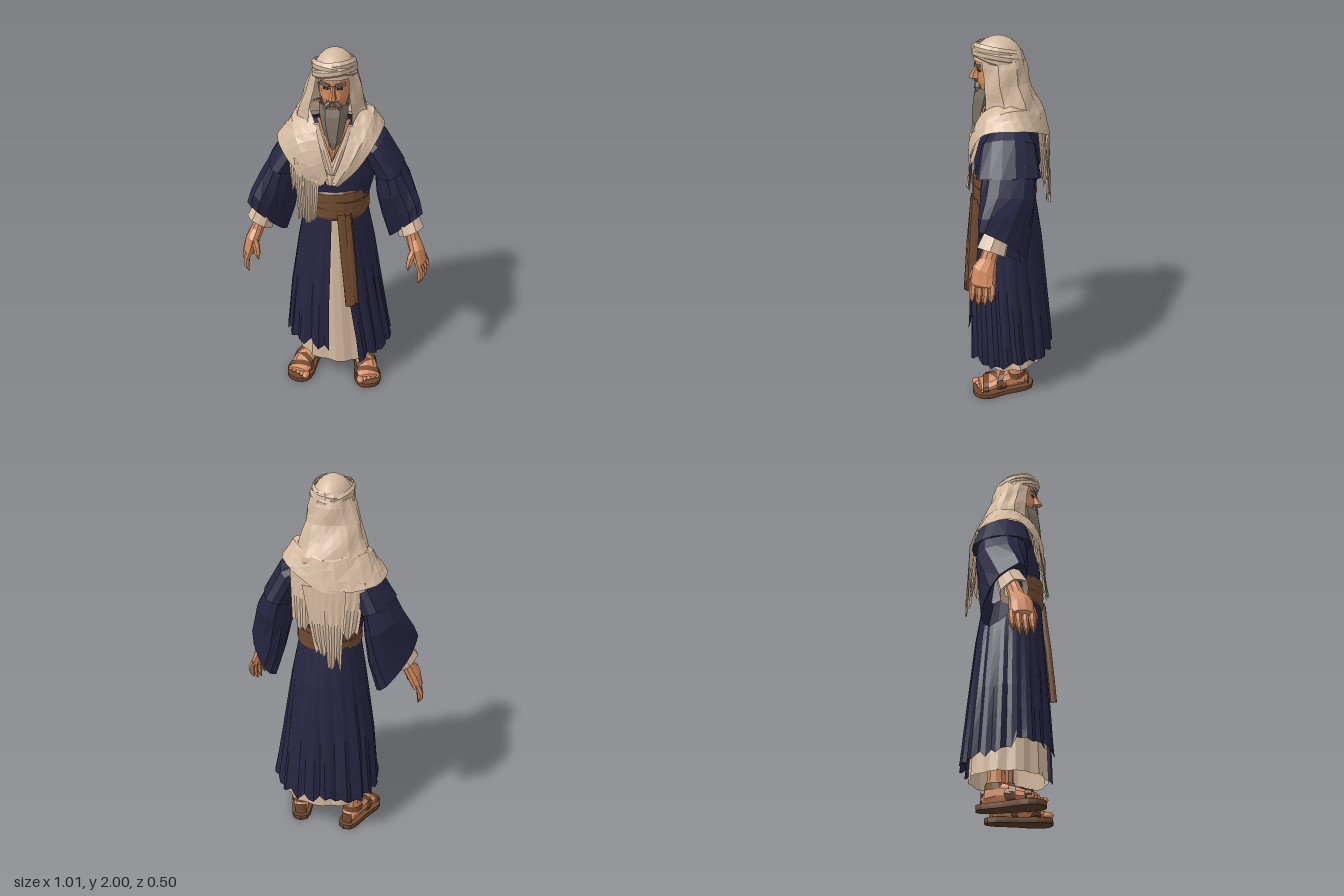
import * as THREE from 'three';

const mat = (name, color) => new THREE.MeshStandardMaterial({ name, color, side: THREE.DoubleSide });
const navy = mat('navy cloth', 0x252540), cream = mat('cream cloth', 0xd4b99f), skin = mat('skin', 0xcf895f);
const brown = mat('brown leather', 0x704a30), sole = mat('dark sole', 0x573b28), grey = mat('grey beard', 0x7d7266);
const dark = mat('dark brow', 0x453b34);

const hash = n => { const s = Math.sin(n * 127.1 + 3.7) * 43758.5; return s - Math.floor(s); };
const lerp = THREE.MathUtils.lerp;
const V3 = p => new THREE.Vector3(...p);

function add(parent, name, geometry, material) {
  const m = new THREE.Mesh(geometry, material);
  m.name = name;
  parent.add(m);
  return m;
}

// Faceted grid surface from f(u, v, i, j) -> Vector3
function surface(parent, name, material, nu, nv, f) {
  const pos = [], idx = [], w = nu + 1;
  for (let j = 0; j <= nv; j++)
    for (let i = 0; i <= nu; i++) pos.push(...f(i / nu, j / nv, i, j).toArray());
  for (let j = 0; j < nv; j++)
    for (let i = 0; i < nu; i++) {
      const a = j * w + i;
      idx.push(a, a + w, a + 1, a + 1, a + w, a + w + 1);
    }
  let g = new THREE.BufferGeometry();
  g.setAttribute('position', new THREE.Float32BufferAttribute(pos, 3));
  g.setIndex(idx);
  g = g.toNonIndexed();
  g.computeVertexNormals();
  return add(parent, name, g, material);
}

// Loft through rings [centre, sideAxis, frontAxis]; angle 0 is the front axis
const up = (y, cx, cz, rx, rz) => [[cx, y, cz], [rx, 0, 0], [0, 0, rz]];
function loft(parent, name, material, rings, n, { range = () => [0, Math.PI * 2], warp, rows = 1 } = {}) {
  const R = rings.map(r => r.map(V3)), segs = R.length - 1;
  return surface(parent, name, material, n, segs * rows, (u, v, i) => {
    const k = Math.min(Math.floor(v * segs + 1e-6), segs - 1), t = v * segs - k;
    const [c, s, f] = [0, 1, 2].map(q => R[k][q].clone().lerp(R[k + 1][q], t));
    const [a0, a1] = range(v), a = lerp(a0, a1, u);
    const [scale, lift] = warp ? warp(i % n, v, a) : [1, 0];
    return c.addScaledVector(s, Math.sin(a) * scale).addScaledVector(f, Math.cos(a) * scale).add(new THREE.Vector3(0, lift, 0));
  });
}

// Ragged hanging strip between a top edge and a bottom edge
function strip(parent, name, material, tl, tr, bl, br, { n = 6, jag = 0, bow = 0, seed = 0, rows = 4 } = {}) {
  return surface(parent, name, material, n, rows, (u, v, i) => {
    const p = V3(tl).lerp(V3(tr), u).lerp(V3(bl).lerp(V3(br), u), v);
    p.z += bow * Math.sin(u * Math.PI) + (i % 2 - 0.5) * 0.012 * v;
    if (v === 1) p.y += jag * (hash(i + seed) - 0.5);
    return p;
  });
}

function buildRobe(g) {
  loft(g, 'tunicSkirt', cream, [up(1.2, 0, 0.02, 0.14, 0.15), up(0.8, 0, 0.01, 0.175, 0.178), up(0.18, 0.02, 0, 0.235, 0.2)], 30,
    { rows: 2, warp: (i, v) => [1 + ([0.02, 0.01, -0.05][i % 3] + 0.03 * (hash(i) - 0.5)) * v, 0] });
  // Long overskirt, open at the front, with a worn hem
  loft(g, 'robeSkirt', navy, [up(1.2, 0, 0.025, 0.155, 0.155), up(0.92, 0, 0.012, 0.205, 0.185),
    up(0.6, 0, 0.008, 0.252, 0.212), up(0.25, 0.01, 0.0, 0.295, 0.238)], 54, {
    rows: 3,
    range: v => [0.18 + 0.32 * v, Math.PI * 2 - 0.02 - 0.06 * v],
    warp: (i, v, a) => [1 + v * ([0.02, 0.03, -0.04][i % 3] + 0.04 * (hash(i) - 0.5) + 0.02 * Math.sin(a * 5)),
      v === 1 ? 0.05 * (hash(i + 50) - 0.5) + (a > 5 ? 0.06 : a < 1.4 ? -0.03 : 0) : 0],
  });
  loft(g, 'robeTorso', navy, [up(1.61, 0, -0.02, 0.12, 0.05), up(1.58, 0, -0.01, 0.18, 0.11), up(1.5, 0, 0.005, 0.205, 0.15),
    up(1.35, 0, 0.01, 0.205, 0.17), up(1.15, 0, 0.025, 0.155, 0.155)], 18,
    { rows: 2, warp: i => [1 + 0.03 * (hash(i + 9) - 0.5), 0] });
  // Open neckline
  strip(g, 'tunicNeck', cream, [-0.13, 1.64, 0.11], [0.13, 1.64, 0.11], [-0.03, 1.34, 0.192], [0.03, 1.34, 0.192], { n: 4, bow: 0.012 });
  strip(g, 'chest', skin, [-0.085, 1.67, 0.115], [0.085, 1.67, 0.115], [-0.005, 1.47, 0.184], [0.005, 1.47, 0.184], { n: 4, bow: 0.015 });
  for (const s of [1, -1])
    strip(g, 'tunicCollar', cream, [s * 0.1, 1.64, 0.13], [s * 0.07, 1.64, 0.14], [s * 0.02, 1.4, 0.2], [-s * 0.01, 1.4, 0.2], { n: 2 });
}

function buildSash(g) {
  for (let k = 0; k < 3; k++) {
    const y = 1.265 - k * 0.045, tilt = [0.01, -0.012, 0.006][k];
    const ring = (dy, r) => [[0.003, y + dy, 0.025], [0.162 * r, tilt, 0], [0, 0.01, 0.158 * r]];
    loft(g, 'sashWrap', brown, [ring(0.015, 1), ring(0.005, 1.06), ring(-0.04, 1.07), ring(-0.065, 1)], 20,
      { warp: i => [1 + 0.02 * (hash(i + k * 31) - 0.5), 0] });
  }
  // Hanging sash ends
  const tail = (pts, rx, rz, seed) => loft(g, 'sashTail', brown, pts.map((p, k) => [p, [rx * (1 + k * 0.15), 0, -0.008], [0, 0, rz]]), 8,
    { rows: 2, warp: (i, v) => [i % 2 ? 1.1 : 0.9, v === 1 ? 0.035 * (hash(i + seed) - 0.5) : 0] });
  tail([[0.045, 1.17, 0.18], [0.073, 0.9, 0.208], [0.105, 0.63, 0.228]], 0.024, 0.02, 0);
  tail([[0.08, 1.17, 0.175], [0.105, 0.9, 0.195], [0.125, 0.65, 0.21]], 0.018, 0.028, 5);
}

function buildArm(g) {
  // Wide layered sleeves
  loft(g, 'shoulderSleeve', navy, [
    [[0.1, 1.56, 0], [0.03, 0.06, 0], [0, 0, 0.08]],
    [[0.19, 1.5, 0], [0.06, 0.06, 0], [0, 0, 0.135]],
    [[0.27, 1.365, 0], [0.08, 0.03, 0], [0.01, 0, 0.16]],
    [[0.27, 1.36, 0], [0.05, 0.02, 0], [0, 0, 0.12]]], 14, { warp: i => [1 + 0.1 * (hash(i + 3) - 0.5), 0] });
  loft(g, 'lowerSleeve', navy, [
    [[0.25, 1.42, 0], [0.06, 0.03, 0], [0, 0, 0.13]],
    [[0.298, 1.26, 0.005], [0.092, 0.055, 0.015], [-0.005, 0, 0.138]],
    [[0.335, 1.14, 0.018], [0.1, 0.08, 0.045], [0, 0.015, 0.12]],
    [[0.37, 1.03, 0.028], [0.088, 0.12, 0.065], [-0.015, 0.035, 0.098]],
    [[0.35, 1.09, 0.025], [0.055, 0.06, 0.04], [-0.01, 0.03, 0.07]]], 14, { warp: i => [1 + 0.1 * (hash(i + 17) - 0.5), 0] });
  loft(g, 'cuff', cream, [
    [[0.355, 1.14, 0.045], [0.048, 0.03, 0], [0, 0.02, 0.058]],
    [[0.403, 1.025, 0.085], [0.06, 0.036, 0.005], [-0.005, 0.025, 0.072]],
    [[0.395, 1.05, 0.08], [0.035, 0.02, 0], [0, 0.02, 0.045]]], 12, { warp: i => [i % 2 ? 1.06 : 0.97, 0] });
  // Hand
  loft(g, 'palm', skin, [
    [[0.385, 1.07, 0.075], [0.03, 0.015, 0], [0, 0.01, 0.036]],
    [[0.415, 0.99, 0.1], [0.032, 0.015, 0], [-0.005, 0.01, 0.041]],
    [[0.438, 0.94, 0.12], [0.035, 0.015, 0.005], [-0.012, 0.02, 0.058]],
    [[0.462, 0.87, 0.127], [0.029, 0.01, 0.004], [-0.014, 0.005, 0.062]],
    [[0.468, 0.86, 0.127], [0.004, 0, 0], [0, 0, 0.03]]], 10);
  const finger = (name, pts, r) => loft(g, name, skin, pts.map((p, i) => {
    const q = [r, r, r * 0.85, 0.003][i];
    return [p, [q, 0, 0], [0, 0, q]];
  }), 6);
  for (let k = 0; k < 4; k++) {
    const z = 0.078 + k * 0.032, x = 0.008 - k * 0.009, len = [0.085, 0.105, 0.11, 0.095][k];
    finger('finger', [[0.464 + x, 0.89, z], [0.484 + x, 0.875 - len * 0.4, z + 0.003], [0.484 + x, 0.875 - len * 0.8, z + 0.008], [0.474 + x, 0.875 - len * 1.12, z + 0.01]], 0.0165);
  }
  finger('thumb', [[0.43, 0.97, 0.145], [0.41, 0.925, 0.17], [0.402, 0.885, 0.185], [0.398, 0.85, 0.19]], 0.019);
}

function buildFoot(side) {
  const g = new THREE.Group();
  g.name = 'foot';
  g.position.set(0.172, 0, 0.033);
  g.rotation.y = 0.24;
  g.scale.x = 1.16;
  side.add(g);
  const s = new THREE.Shape();
  s.moveTo(0, -0.175);
  s.bezierCurveTo(0.07, -0.175, 0.04, -0.04, 0.06, 0.03);
  s.bezierCurveTo(0.085, 0.12, 0.06, 0.178, 0, 0.178);
  s.bezierCurveTo(-0.06, 0.178, -0.075, 0.12, -0.058, 0.03);
  s.bezierCurveTo(-0.04, -0.04, -0.07, -0.175, 0, -0.175);
  for (const [name, m, d, top] of [['soleBase', sole, 0.012, 0.012], ['soleTop', brown, 0.016, 0.028]])
    add(g, name, new THREE.ExtrudeGeometry(s, { depth: d, bevelEnabled: false, curveSegments: 5 }).rotateX(Math.PI / 2).translate(0, top, 0), m);
  const rings = [[-0.14, 0.055, 0.015, 0.02], [-0.115, 0.065, 0.038, 0.042], [-0.05, 0.08, 0.044, 0.062],
    [0.02, 0.07, 0.05, 0.045], [0.09, 0.055, 0.056, 0.03], [0.135, 0.048, 0.05, 0.02], [0.14, 0.045, 0.02, 0.01]];
  loft(g, 'footBody', skin, rings.map(([z, y, rx, ry]) => [[0, y, z], [rx, 0, 0], [0, ry, 0]]), 10);
  for (let k = 0; k < 5; k++) {
    const toe = add(g, 'toe', new THREE.IcosahedronGeometry(k ? 0.013 : 0.018, 1), skin);
    toe.position.set(-0.042 + k * 0.022, 0.042, 0.145 - k * 0.006);
    toe.scale.z = 1.6;
  }
  loft(g, 'ankle', skin, [up(0.45, -0.005, -0.07, 0.045, 0.05), up(0.2, 0, -0.07, 0.037, 0.044), up(0.13, 0, -0.07, 0.038, 0.048), up(0.08, 0, -0.065, 0.041, 0.056)], 10);
  // Straps, some slanted across the instep
  for (const [z, y, rx, ry, slant] of [[0.1, 0.055, 0.062, 0.034, 0.015], [0.045, 0.064, 0.058, 0.046, -0.035], [0.0, 0.072, 0.055, 0.058, 0.035]])
    loft(g, 'strap', brown, [[[0, y, z - 0.016], [rx, 0, slant], [0, ry, 0]], [[0, y - 0.004, z + 0.018], [rx, 0, slant], [0, ry * 0.94, 0]]], 12);
  loft(g, 'ankleStrap', brown, [up(0.125, 0, -0.07, 0.046, 0.055), up(0.09, 0, -0.066, 0.049, 0.063)], 12);
  loft(g, 'heelStrap', brown, [up(0.09, 0, -0.09, 0.046, 0.057), up(0.028, 0, -0.085, 0.047, 0.063)], 12, { range: () => [2.5, 3.8] });
}

function buildHead(g) {
  loft(g, 'face', skin, [up(1.95, 0, 0.06, 0.05, 0.06), up(1.89, 0, 0.065, 0.08, 0.1), up(1.855, 0, 0.065, 0.08, 0.103), up(1.835, 0, 0.06, 0.078, 0.095),
    up(1.78, 0, 0.062, 0.074, 0.098), up(1.7, 0, 0.055, 0.05, 0.085), up(1.66, 0, 0.04, 0.055, 0.055), up(1.55, 0, 0.04, 0.08, 0.06)], 14);
  loft(g, 'nose', skin, [up(1.86, 0, 0.15, 0.01, 0.012), up(1.815, 0, 0.162, 0.014, 0.028), up(1.79, 0, 0.165, 0.02, 0.037), up(1.775, 0, 0.15, 0.008, 0.01)], 6);
  for (const s of [1, -1]) {
    const brow = add(g, 'eyebrow', new THREE.BoxGeometry(0.05, 0.012, 0.02), grey);
    brow.position.set(s * 0.036, 1.862, 0.156);
    brow.rotation.set(0, s * 0.35, s * 0.15);
    const eye = add(g, 'eye', new THREE.BoxGeometry(0.026, 0.01, 0.008), dark);
    eye.position.set(s * 0.034, 1.837, 0.149);
    eye.rotation.y = s * 0.35;
    loft(g, 'moustache', grey, [up(1.777, s * 0.008, 0.158, 0.014, 0.014), up(1.755, s * 0.028, 0.157, 0.018, 0.018), up(1.69, s * 0.042, 0.145, 0.006, 0.006)], 6);
    strip(g, 'sideburn', grey, [s * 0.084, 1.85, 0.06], [s * 0.08, 1.83, 0.095], [s * 0.07, 1.72, 0.08], [s * 0.05, 1.72, 0.14], { n: 2 });
  }
  const lip = add(g, 'lip', new THREE.BoxGeometry(0.03, 0.01, 0.008), skin);
  lip.position.set(0, 1.744, 0.171);
  loft(g, 'beard', grey, [up(1.75, 0, 0.115, 0.066, 0.05), up(1.7, 0, 0.125, 0.064, 0.056), up(1.63, 0, 0.14, 0.049, 0.048), up(1.57, 0.004, 0.155, 0.033, 0.034), up(1.515, 0.002, 0.168, 0.004, 0.006)], 12,
    { rows: 2, warp: i => [1 + (i % 2 ? 0.1 : -0.06), 0] });
}

function buildHeadcloth(g) {
  const crown = add(g, 'crown', new THREE.SphereGeometry(1, 16, 6, 0, Math.PI * 2, 0, Math.PI / 2), cream);
  crown.position.set(-0.003, 1.885, 0.055);
  crown.scale.set(0.1, 0.115, 0.122);
  // Wrapped bands
  [[1.925, 0.015, 0.02, 1], [1.91, -0.015, 0.028, 1.03], [1.9, 0.018, 0.022, 1.05]].forEach(([y, roll, pitch, r], k) => {
    const ring = (dy, q) => [[-0.004, y + dy, 0.053], [0.102 * r * q, roll, 0], [0, pitch, 0.122 * r * q]];
    loft(g, 'headBand', cream, [ring(0.024, 0.92), ring(0.008, 1.03), ring(-0.012, 1.03), ring(-0.026, 0.92)], 16,
      { warp: i => [1 + 0.05 * (hash(i + k * 13) - 0.5), 0] });
  });
  loft(g, 'headDrape', cream, [up(1.93, 0, 0.045, 0.09, 0.11), up(1.86, -0.006, 0.035, 0.118, 0.122), up(1.78, -0.014, 0.025, 0.142, 0.122),
    up(1.7, -0.018, 0.002, 0.165, 0.135), up(1.63, -0.02, -0.01, 0.19, 0.158), up(1.58, -0.02, -0.01, 0.2, 0.16)], 20, {
    rows: 2, range: v => [0.74 - 0.16 * v, Math.PI * 2 - 0.74 + 0.16 * v],
    warp: (i, v) => [1 + 0.1 * (hash(i + 70) - 0.5) + 0.03 * Math.sin(v * 14 + i), 0],
  });
}

function buildShawl(g) {
  const curve = pts => new THREE.CatmullRomCurve3(pts.map(V3));
  const inner = curve([[0, 1.36, 0.2], [0.05, 1.5, 0.192], [0.09, 1.64, 0.13], [0.12, 1.7, 0.02], [0, 1.7, -0.1], [-0.13, 1.7, 0.02], [-0.09, 1.64, 0.13], [-0.05, 1.5, 0.192], [-0.02, 1.38, 0.2]]);
  const middle = curve([[0.02, 1.35, 0.21], [0.11, 1.5, 0.2], [0.17, 1.63, 0.11], [0.18, 1.67, -0.03], [-0.02, 1.63, -0.175], [-0.21, 1.64, -0.04], [-0.2, 1.6, 0.12], [-0.13, 1.47, 0.205], [-0.04, 1.35, 0.21]]);
  const outer = curve([[0.03, 1.33, 0.195], [0.13, 1.44, 0.19], [0.215, 1.57, 0.12], [0.225, 1.59, -0.08], [-0.04, 1.48, -0.21], [-0.275, 1.5, -0.1], [-0.29, 1.52, 0.08], [-0.19, 1.42, 0.19], [-0.06, 1.33, 0.2]]);
  surface(g, 'shawl', cream, 32, 6, (u, v, i, j) => {
    const m = middle.getPoint(u);
    const p = v < 0.5 ? inner.getPoint(u).lerp(m, v * 2) : m.lerp(outer.getPoint(u), v * 2 - 1);
    p.y += 0.018 * (hash(i * 0.5 + j * 7) - 0.4) * Math.sin(v * Math.PI);
    return p;
  });
  // Ragged ends at the front and back
  strip(g, 'shawlFrontEnd', cream, [-0.19, 1.48, 0.19], [-0.06, 1.42, 0.2], [-0.17, 1.15, 0.215], [-0.075, 1.14, 0.228], { n: 12, jag: 0.05 });
  strip(g, 'shawlFrontFold', cream, [-0.22, 1.48, 0.16], [-0.13, 1.44, 0.2], [-0.21, 1.32, 0.175], [-0.14, 1.26, 0.212], { n: 8, jag: 0.08, seed: 20 });
  strip(g, 'shawlBackEnd', cream, [0.16, 1.57, -0.14], [-0.23, 1.52, -0.13], [0.14, 1.28, -0.165], [-0.2, 1.22, -0.145], { n: 22, jag: 0.08, bow: -0.045, seed: 40 });
  strip(g, 'shawlBackPoint', cream, [0.08, 1.5, -0.19], [-0.15, 1.49, -0.19], [0.0, 1.11, -0.205], [-0.13, 1.1, -0.2], { n: 12, jag: 0.13, bow: -0.015, seed: 60 });
}

export function createModel() {
  const model = new THREE.Group();
  model.name = 'robedElder';
  const part = (name, build, mirror = 1) => {
    const g = new THREE.Group();
    g.name = name;
    g.scale.x = mirror;
    build(g);
    model.add(g);
  };
  part('robe', buildRobe);
  part('sash', buildSash);
  part('head', buildHead);
  part('headcloth', buildHeadcloth);
  part('shawlGroup', buildShawl);
  for (const [label, s] of [['left', 1], ['right', -1]]) {
    part(label + 'Arm', buildArm, s);
    part(label + 'Leg', buildFoot, s);
  }
  return model;
}
